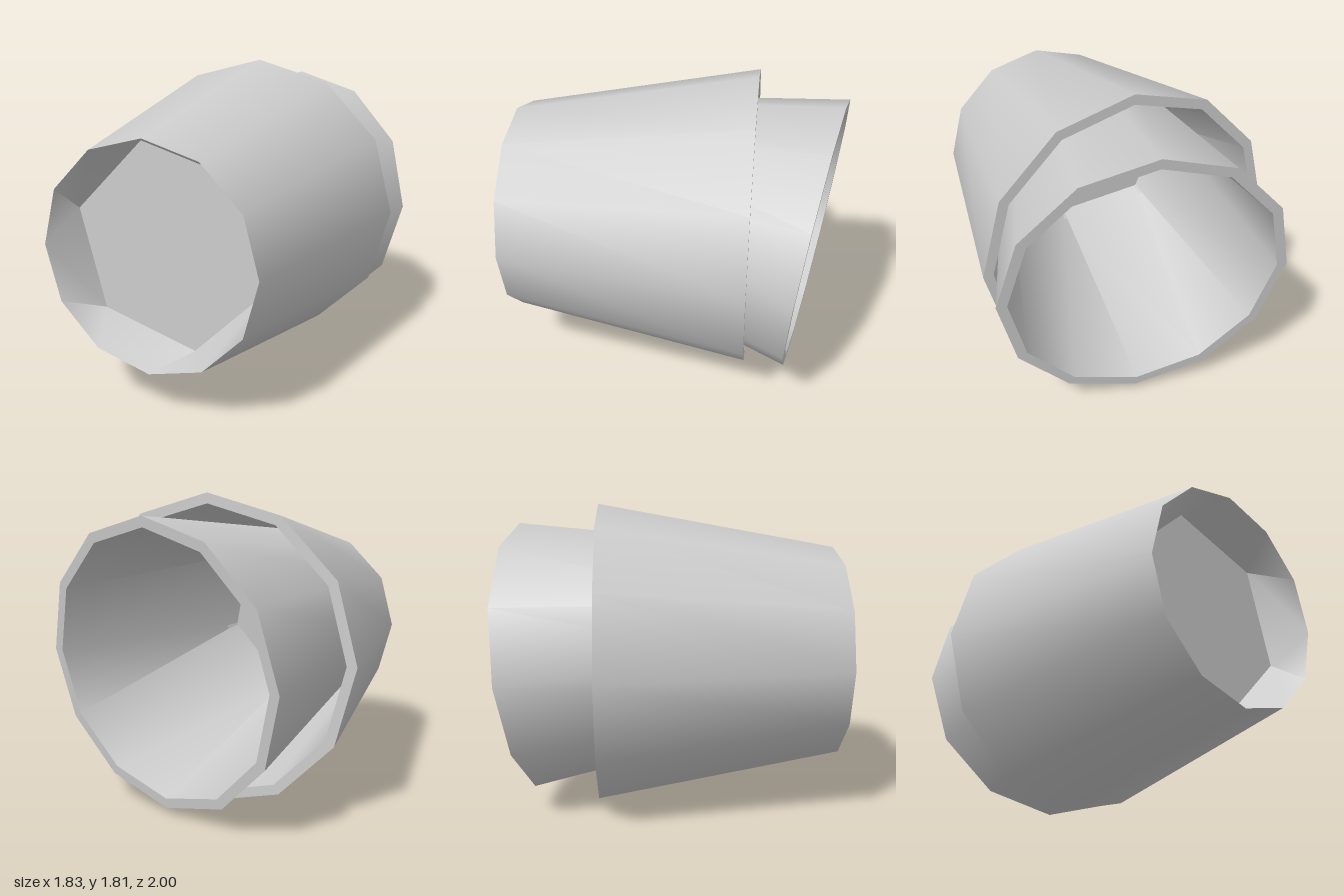
import * as THREE from 'three';

const SIDES = 12;

// Tapered wall along z: radius r0 at z0 (back) to r1 at z1 (front).
// With hex set, the front ring's corners merge in pairs into a hexagon.
function wall(r0, z0, r1, z1, hex = false) {
  const g = new THREE.CylinderGeometry(r0, r1, z1 - z0, SIDES, 1, true);
  if (hex) {
    const p = g.attributes.position;
    for (let k = 0; k <= SIDES; k++) {
      const a = THREE.MathUtils.degToRad(30 * (2 * Math.floor((k - 1) / 2) + 1) + 15);
      p.setXYZ(SIDES + 1 + k, r1 * Math.sin(a), -(z1 - z0) / 2, r1 * Math.cos(a));
    }
  }
  g.rotateX(-Math.PI / 2);
  g.translate(0, 0, (z0 + z1) / 2);
  return g;
}

// A cup lying on its side, its rim at local z = 0 and opening towards -z
function makeCup(name, material, { rim, lip, end, depth, floor, floorDepth }) {
  const cup = new THREE.Group();
  cup.name = name;
  const add = (part, geometry) => {
    const m = new THREE.Mesh(geometry, material);
    m.name = part;
    cup.add(m);
  };
  add('outerWall', wall(rim, 0, end, depth));
  add('innerWall', wall(lip, 0, floor, floorDepth, true));

  const ring = new THREE.RingGeometry(lip, rim, SIDES, 1);
  ring.rotateY(Math.PI);
  add('rim', ring);

  const base = new THREE.CircleGeometry(floor, 6, Math.PI / 4);
  base.translate(0, 0, floorDepth);
  add('base', base);

  // Recess under the base, running from the foot edge to the hexagon
  if (depth > floorDepth) {
    const recess = wall(end, -depth, floor, -floorDepth, true);
    const p = recess.attributes.position;
    for (let i = 0; i < p.count; i++) p.setZ(i, -p.getZ(i));
    recess.computeVertexNormals();
    add('footRecess', recess);
  }
  return cup;
}

export function createModel() {
  const model = new THREE.Group();
  model.name = 'nestedCups';
  const grey = new THREE.MeshStandardMaterial({ color: 0xcccccc, side: THREE.DoubleSide });
  grey.name = 'light grey';

  // Large cup, lying along z
  const outer = makeCup('outerCup', grey, {
    rim: 0.905, lip: 0.845, end: 0.645, depth: 1.43, floor: 0.6, floorDepth: 1.19,
  });
  outer.position.set(-0.01, 0.907, -0.43);
  model.add(outer);

  // Smaller cup, pushed crookedly into the large one
  const inner = makeCup('innerCup', grey, {
    rim: 0.83, lip: 0.77, end: 0.56, depth: 1.37, floor: 0.545, floorDepth: 1.37,
  });
  inner.position.set(0.095, 0.87, -0.825);
  inner.rotation.set(-0.11, -0.18, 0);
  model.add(inner);

  return model;
}
